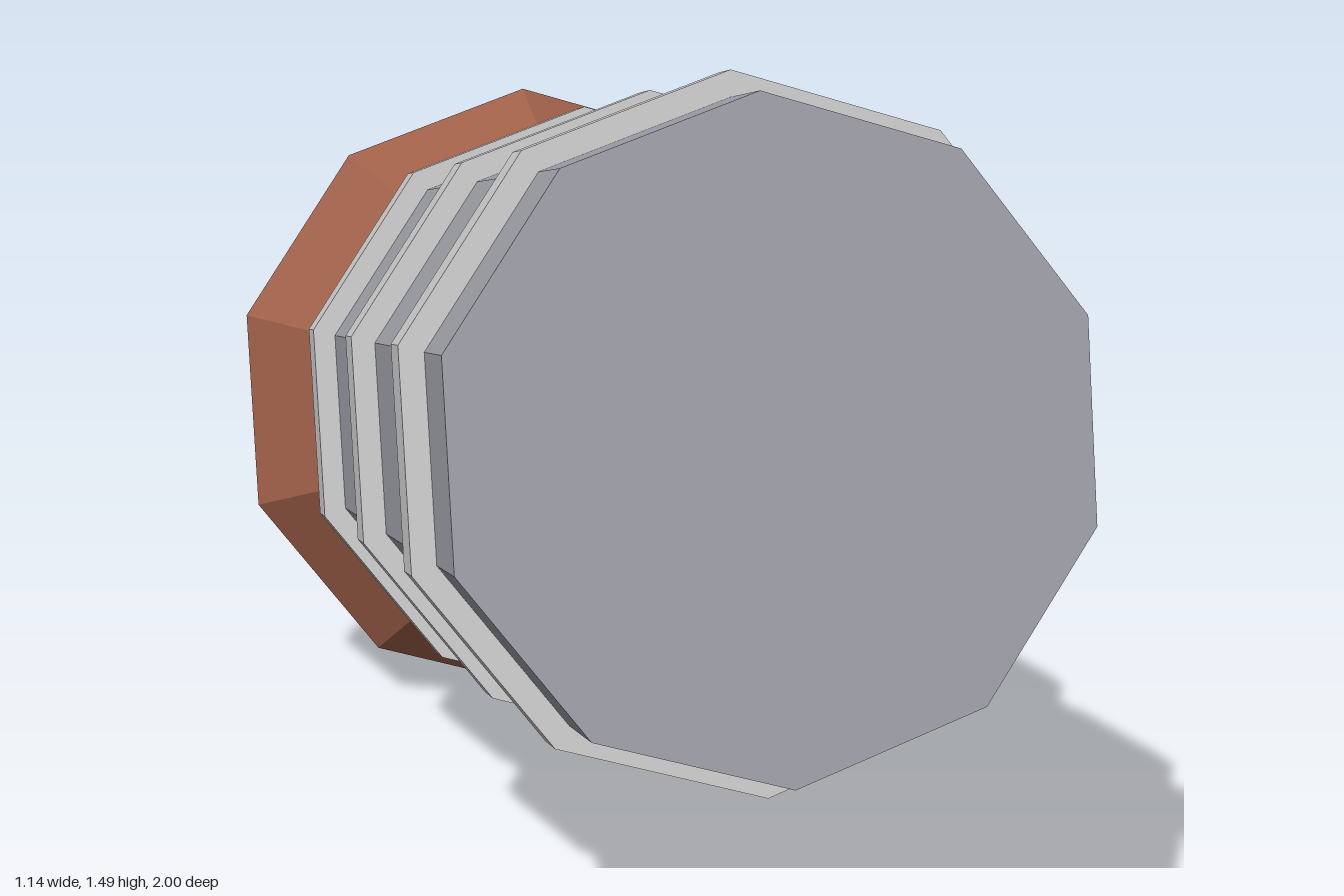
import * as THREE from 'three';

const SIDES = 10;

function material(color) {
  return new THREE.MeshStandardMaterial({ color, flatShading: true });
}

export function createModel() {
  const model = new THREE.Group();
  const grey = material(0xcccccc);
  const steel = material(0x9fa0a8);
  const brown = material(0xa0604a);

  // Everything is a ten-sided drum stacked along one tilted axis (+y = front end)
  const barrel = new THREE.Group();
  barrel.name = 'barrel';
  barrel.position.set(0, 0.84, 0.185);
  barrel.rotation.x = THREE.MathUtils.degToRad(90 - 13.8);
  model.add(barrel);

  function drum(name, rFront, rBack, length, y, mat) {
    const mesh = new THREE.Mesh(new THREE.CylinderGeometry(rFront, rBack, length, SIDES), mat);
    mesh.name = name;
    mesh.position.y = y;
    barrel.add(mesh);
  }

  // Main body
  drum('body', 0.494, 0.494, 1.432, 0, steel);

  // Three raised hoops
  for (let i = -1; i <= 1; i++) drum('hoop', 0.533, 0.533, 0.072, i * 0.523, grey);

  // Flared rear collar
  drum('flare', 0.387, 0.598, 0.355, -0.8935, brown);

  // Thin plate on the rear of the flare
  drum('rearPlate', 0.394, 0.394, 0.04, -1.067, grey);

  return model;
}
